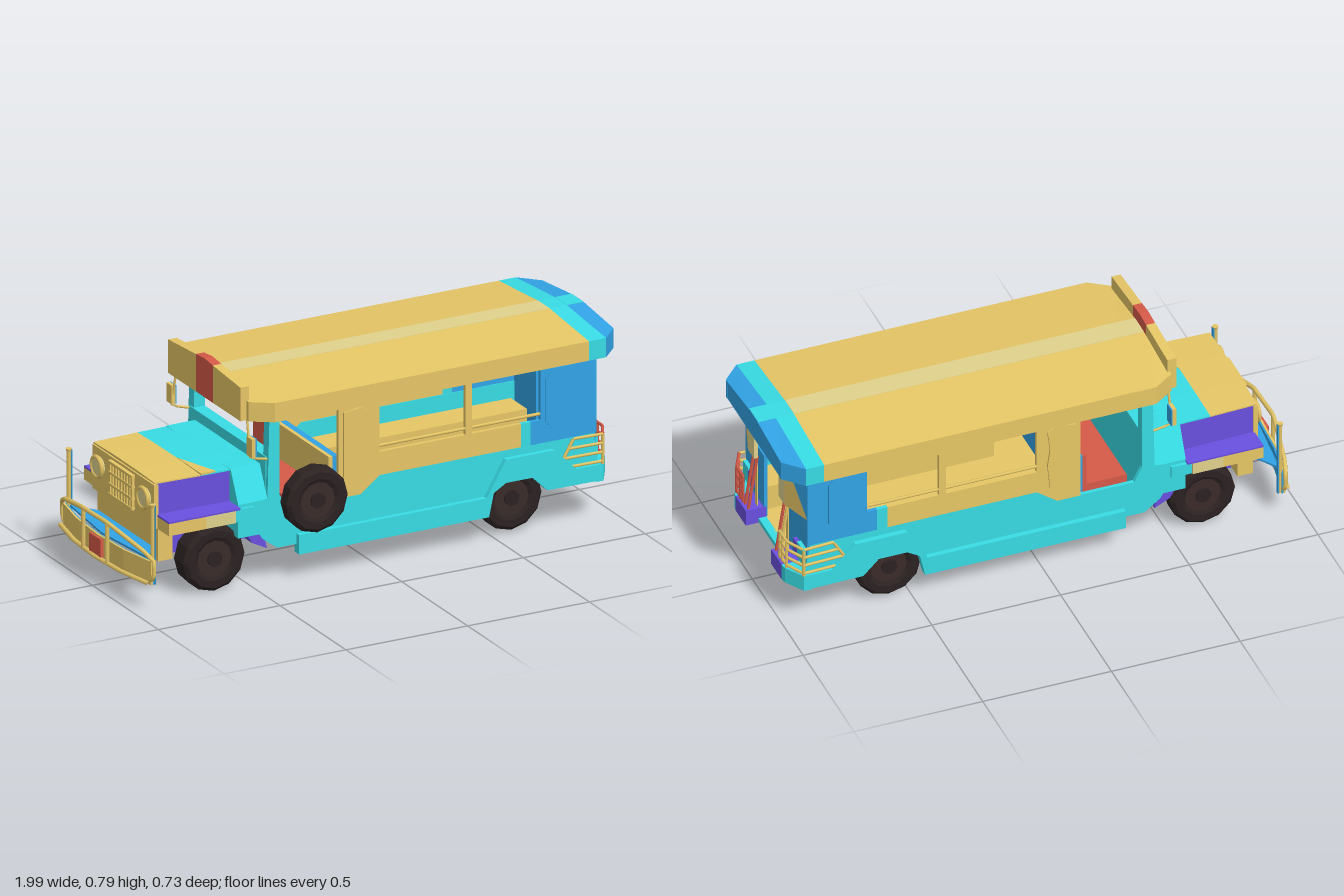
import * as THREE from 'three';

export function createModel() {
  const model = new THREE.Group();
  const g = new THREE.Group();
  g.name = 'passengerTruck';
  g.position.z = -0.01;
  model.add(g);

  const mat = (name, color) => {
    const m = new THREE.MeshStandardMaterial({ color });
    m.name = name;
    return m;
  };
  const gold = mat('gold', 0xe6c666), pale = mat('paleGold', 0xe0d28c), teal = mat('teal', 0x38dce5);
  const blue = mat('blue', 0x32a4e6), purple = mat('purple', 0x6a50e0), red = mat('red', 0xd65a48);
  const rubber = mat('rubber', 0x2c2222), hubMat = mat('hub', 0x3a2b29);
  rubber.flatShading = hubMat.flatShading = true;

  const add = (name, geo, m, x = 0, y = 0, z = 0) => {
    const mesh = new THREE.Mesh(geo, m);
    mesh.name = name;
    mesh.position.set(x, y, z);
    g.add(mesh);
    return mesh;
  };
  // Box from its limits on each axis
  const box = (name, m, x0, x1, y0, y1, z0, z1) =>
    add(name, new THREE.BoxGeometry(x1 - x0, y1 - y0, Math.abs(z1 - z0)), m, (x0 + x1) / 2, (y0 + y1) / 2, (z0 + z1) / 2);
  const extrude = (pts, depth) => new THREE.ExtrudeGeometry(
    new THREE.Shape(pts.map(p => new THREE.Vector2(p[0], p[1]))), { depth, bevelEnabled: false });
  // Side panel: x,y outline whose outer face lies at s * half
  const side = (name, m, pts, s, half, t = 0.015) => add(name, extrude(pts, t), m, 0, 0, s > 0 ? half - t : -half);
  // Symmetric z,y section run along x, widened by w0 and w1 at its ends
  const alongX = (name, m, pts, x0, x1, w0 = 1, w1 = 1) => {
    const geo = extrude(pts, x1 - x0).rotateY(Math.PI / 2);
    const p = geo.attributes.position;
    for (let i = 0; i < p.count; i++) p.setZ(i, p.getZ(i) * (p.getX(i) < (x1 - x0) / 2 ? w0 : w1));
    geo.computeVertexNormals();
    return add(name, geo, m, x0);
  };
  // Plan outline (x,z) raised from y0 to y1
  const plan = (name, m, pts, y0, y1) =>
    add(name, extrude(pts.map(([x, z]) => [x, -z]), y1 - y0).rotateX(-Math.PI / 2), m, 0, y0);
  const tube = (name, m, pts, r = 0.006) => {
    const path = new THREE.CurvePath();
    const v = pts.map(p => new THREE.Vector3(...p));
    for (let i = 1; i < v.length; i++) path.add(new THREE.LineCurve3(v[i - 1], v[i]));
    return add(name, new THREE.TubeGeometry(path, (v.length - 1) * 4, r, 6), m);
  };
  const both = fn => [1, -1].forEach(fn);
  const mirror = half => [...half, ...half.map(([z, y]) => [-z, y]).reverse()];

  // Roof shell with hollow underside, closed at the rear
  const shell = [...mirror([[0.343, 0.64], [0.343, 0.715], [0.045, 0.74]]),
    ...mirror([[0.325, 0.64], [0.325, 0.7]]).reverse()];
  alongX('roofFront', gold, shell, -0.51, -0.43, 0.84, 1);
  alongX('roofMain', gold, shell, -0.43, 0.86);
  alongX('roofBand', teal, shell, 0.86, 0.93);
  alongX('roofRear', blue, shell, 0.93, 1, 1, 0.79);
  alongX('roofRearFascia', blue, mirror([[0.33, 0.642], [0.33, 0.705]]), 0.985, 0.9995, 0.83, 0.79);
  box('roofStripe', pale, -0.5, 0.86, 0.738, 0.741, -0.045, 0.045);
  box('roofStripeRear', teal, 0.93, 0.998, 0.738, 0.741, -0.045, 0.045);

  // Sign board above the windscreen
  both(s => alongX('signBoard', gold, s > 0
    ? [[0.065, 0.64], [0.274, 0.64], [0.274, 0.77], [0.065, 0.785]]
    : [[-0.274, 0.64], [-0.065, 0.64], [-0.065, 0.785], [-0.274, 0.77]], -0.535, -0.5));
  alongX('signCentre', red, [[-0.065, 0.64], [0.065, 0.64], [0.065, 0.785], [0, 0.791], [-0.065, 0.785]], -0.535, -0.5);

  // Body sides
  const arch = [[0.92, 0.22], [0.92, 0.158], [0.7, 0.16], [0.64, 0.22], [0.53, 0.22], [0.48, 0.19], [0.46, 0.1], [-0.32, 0.1]];
  both(s => {
    side('lowerWall', teal, [[-0.55, 0.32], [-0.39, 0.34], [-0.36, 0.28], [-0.06, 0.28], [0.02, 0.34], [0.9, 0.34],
      ...arch, [-0.32, 0.135], [-0.4, 0.135], [-0.46, 0.18]], s, 0.303);
    side('skirt', teal, [[-0.32, 0.175], [0.45, 0.175], [0.53, 0.31], [0.73, 0.31], [0.82, 0.22], ...arch], s, 0.323, 0.022);
    side('doorPillar', gold, [[-0.15, 0.28], [-0.06, 0.28], [0.02, 0.34], [0.02, 0.7], [-0.15, 0.7]], s, 0.306);
    side('pillarPanel', gold, [[-0.13, 0.36], [-0.1, 0.34], [-0.03, 0.35], [-0.02, 0.45], [-0.03, 0.52], [-0.02, 0.6], [-0.06, 0.62], [-0.13, 0.61]], s, 0.313, 0.008);
    side('windowSill', gold, [[0.02, 0.34], [0.6, 0.34], [0.6, 0.43], [0.02, 0.43]], s, 0.306);
    side('sillBand', teal, [[0.6, 0.34], [0.64, 0.34], [0.64, 0.43], [0.6, 0.43]], s, 0.306);
    side('rearQuarter', blue, [[0.64, 0.34], [0.91, 0.34], [0.91, 0.7], [0.68, 0.7], [0.68, 0.43], [0.64, 0.43]], s, 0.306);
    side('quarterPanel', blue, [[0.73, 0.39], [0.8, 0.39], [0.83, 0.42], [0.83, 0.59], [0.8, 0.625], [0.73, 0.625], [0.7, 0.59], [0.7, 0.42]], s, 0.313, 0.008);
    side('windowPost', gold, [[0.372, 0.43], [0.4, 0.43], [0.4, 0.7], [0.372, 0.7]], s, 0.306);
    tube('windowBar', gold, [[0.02, 0.453, s * 0.3], [0.68, 0.453, s * 0.3]]);
    side('screenPillar', teal, [[-0.44, 0.32], [-0.39, 0.32], [-0.39, 0.7], [-0.43, 0.7]], s, 0.303, 0.04);

    // Mirror and its arm
    box('mirror', gold, -0.515, -0.5, 0.51, 0.582, s * 0.285, s * 0.325);
    box('mirrorFace', blue, -0.5, -0.495, 0.51, 0.582, s * 0.285, s * 0.325);
    tube('mirrorArm', gold, [[-0.505, 0.64, s * 0.27], [-0.508, 0.5, s * 0.298], [-0.43, 0.48, s * 0.29]], 0.005);

    // Benches with closed fronts
    box('bench', gold, 0, 0.88, 0.235, 0.275, s * 0.165, s * 0.288);
    box('benchFront', gold, 0, 0.88, 0.175, 0.235, s * 0.165, s * 0.175);

    // Rear wall and slanted upper corner, the corner split on a diagonal
    box('rearWall', blue, 0.895, 0.91, 0.17, 0.45, s * 0.125, s * 0.3);
    box('rearPanel', pale, 0.935, 0.95, 0.45, 0.7, s * 0.12, s * 0.18);
    plan('rearCorner', gold, [[0.95, 0.18], [0.907, 0.306], [0.892, 0.3], [0.935, 0.175]].map(([x, z]) => [x, s * z]), 0.45, 0.7);
    const tri = [[0.953, 0.67, 0.18], [0.91, 0.7, 0.307], [0.91, 0.45, 0.307]];
    if (s < 0) tri.reverse();
    const triGeo = new THREE.BufferGeometry().setFromPoints(tri.map(([x, y, z]) => new THREE.Vector3(x, y, s * z)));
    triGeo.computeVertexNormals();
    add('rearCornerPaint', triGeo, blue);

    // Rear step with chamfered ends
    box('stepEnd', purple, 0.9, 0.98, 0.155, 0.22, s * 0.125, s * 0.225);
    plan('stepCorner', teal, [[0.9, 0.225], [0.98, 0.225], [0.975, 0.25], [0.93, 0.323], [0.9, 0.323]].map(([x, z]) => [x, s * z]), 0.155, 0.22);
    box('tailLamp', purple, 0.91, 0.925, 0.26, 0.31, s * 0.2, s * 0.24);
    box('tailLampOuter', teal, 0.91, 0.925, 0.25, 0.32, s * 0.24, s * 0.29);

    // Door poles and corner railings
    const railMat = s > 0 ? red : gold;
    tube('doorPole', red, [[0.965, 0.22, s * 0.137], [0.93, 0.45, s * 0.137]]);
    tube('outerPole', railMat, [[0.965, 0.22, s * 0.167], [0.93, 0.45, s * 0.167]]);
    box('poleSlat', gold, 0.925, 0.93, 0.22, 0.45, s * 0.142, s * 0.162);
    [0.23, 0.265, 0.3, 0.335].forEach(y => {
      tube('sideRail', gold, [[0.75 + (y - 0.23) * 0.6, y, s * 0.312], [0.93, y, s * 0.318]]);
      tube('rearRail', railMat, [[0.93, y, s * 0.318], [0.968, y, s * 0.245], [0.968, y, s * 0.175]]);
    });
    tube('railSlant', gold, [[0.75, 0.23, s * 0.312], [0.813, 0.335, s * 0.312]]);
    [0.182, 0.205, 0.245].forEach(z => tube('railPost', railMat, [[0.968, 0.22, s * z], [0.968, 0.335, s * z]]));
    tube('railSidePost', gold, [[0.93, 0.22, s * 0.318], [0.93, 0.335, s * 0.318]]);

    // Front fenders with flat tops
    box('fender', gold, -0.855, -0.7, 0.27, 0.317, s * 0.16, s * 0.322);
    box('fenderMiddle', pale, -0.7, -0.58, 0.27, 0.317, s * 0.16, s * 0.322);
    box('fenderRear', teal, -0.58, -0.5, 0.27, 0.317, s * 0.16, s * 0.316);
    box('fenderTop', purple, -0.855, -0.56, 0.317, 0.324, s * 0.16, s * 0.322);
    side('fenderTail', purple, [[-0.56, 0.27], [-0.47, 0.27], [-0.44, 0.14], [-0.5, 0.17]], s, 0.3, 0.1);

    // Headlamps
    add('headlamp', new THREE.CylinderGeometry(0.036, 0.036, 0.03, 16).rotateZ(Math.PI / 2), pale, -0.87, 0.375, s * 0.175);
    add('headlampRing', new THREE.TorusGeometry(0.038, 0.008, 6, 16).rotateY(Math.PI / 2), gold, -0.882, 0.375, s * 0.175);
  });

  // Cab and interior; the floor narrows between the rear wheels
  [[-0.35, 0.46, 0.288], [0.46, 0.7, 0.175], [0.7, 0.905, 0.288]].forEach(([x0, x1, w]) => box('floor', gold, x0, x1, 0.163, 0.175, -w, w));
  box('cabFloor', teal, -0.45, -0.35, 0.163, 0.175, -0.288, 0.288);
  box('rearStep', teal, 0.9, 0.93, 0.157, 0.175, -0.125, 0.125);
  box('crossBeam', teal, 0.42, 0.45, 0.13, 0.163, -0.288, 0.288);
  box('screenHeader', teal, -0.435, -0.395, 0.625, 0.7, -0.29, 0.29);
  box('doorHeader', teal, 0.9, 0.935, 0.625, 0.7, -0.21, 0.21);
  box('dashboard', teal, -0.44, -0.39, 0.17, 0.49, -0.29, 0.29);
  box('seatBack', blue, -0.165, -0.14, 0.175, 0.44, -0.288, 0.288);
  box('seat', red, -0.34, -0.165, 0.175, 0.305, -0.28, 0.28);
  box('seatCushion', gold, -0.18, -0.165, 0.305, 0.44, -0.2, 0.288);
  box('seatCushionEnd', red, -0.18, -0.165, 0.305, 0.44, -0.288, -0.2);

  // Hood standing between the fenders, widening into the cowl
  const hood = mirror([[0.238, 0.3], [0.238, 0.443], [0.09, 0.447]]);
  const hoodSkin = mirror([[0.24, 0.443], [0.24, 0.448], [0.09, 0.452]]);
  alongX('hood', purple, hood, -0.855, -0.56, 0.97, 1);
  alongX('cowl', teal, mirror([[0.303, 0.2], [0.303, 0.33], [0.245, 0.45]]), -0.56, -0.42);
  alongX('hoodTop', gold, hoodSkin, -0.865, -0.68, 0.97, 1);
  alongX('hoodTopRear', teal, hoodSkin, -0.68, -0.5, 1, 1.02);
  plan('hoodTopEdge', gold, [[-0.68, 0.06], [-0.62, 0.241], [-0.68, 0.241]], 0.446, 0.4535);
  box('engineBay', purple, -0.79, -0.45, 0.135, 0.31, -0.165, 0.165);
  box('frontPanel', gold, -0.85, -0.79, 0.14, 0.27, -0.23, 0.23);

  // Grille
  box('grillePanel', gold, -0.868, -0.85, 0.27, 0.44, -0.235, 0.235);
  box('grilleBack', rubber, -0.872, -0.866, 0.305, 0.425, -0.085, 0.085);
  for (let i = -4; i <= 4; i++) box('grilleBar', gold, -0.88, -0.87, 0.3, 0.43, i * 0.021 - 0.005, i * 0.021 + 0.005);
  [0.3, 0.34, 0.385, 0.425].forEach(y => box('grilleRail', gold, -0.883, -0.868, y - 0.005, y + 0.005, -0.09, 0.09));

  // Bowed front bumper: gold outside, blue inside, with tube guard and end posts
  const bow = d => [[-0.935 + d, -0.335], [-0.965 + d, -0.18], [-0.975 + d, 0], [-0.965 + d, 0.18], [-0.935 + d, 0.335]];
  plan('bumperPlate', gold, [...bow(0), ...bow(0.008).reverse()], 0.1, 0.19);
  plan('bumperLining', blue, [...bow(0.008), ...bow(0.014).reverse()], 0.1, 0.188);
  plan('bumperBracket', blue, [[-0.925, -0.3], [-0.955, 0], [-0.925, 0.3], [-0.86, 0.2], [-0.86, -0.2]], 0.185, 0.193);
  box('bumperBadge', red, -0.985, -0.974, 0.115, 0.185, -0.045, 0.045);
  tube('bumperGuard', gold, [[-0.93, 0.11, 0.315], [-0.93, 0.13, 0.348], [-0.93, 0.195, 0.348], [-0.945, 0.22, 0.3],
    [-0.98, 0.265, 0.09], [-0.985, 0.265, -0.09], [-0.945, 0.22, -0.3], [-0.93, 0.195, -0.348], [-0.93, 0.13, -0.348], [-0.93, 0.11, -0.315]], 0.009);
  tube('bumperLowerBar', gold, bow(-0.01).map(([x, z]) => [x, 0.108, z]), 0.009);
  both(s => {
    tube('bumperUpright', gold, [[-0.983, 0.11, s * 0.09], [-0.983, 0.265, s * 0.09]], 0.008);
    tube('bumperPost', gold, [[-0.92, 0.095, s * 0.318], [-0.92, 0.4, s * 0.318]], 0.008);
    box('postBack', blue, -0.913, -0.909, 0.095, 0.4, s * 0.31, s * 0.326);
    add('postCap', new THREE.CylinderGeometry(0.012, 0.009, 0.012, 8), gold, -0.92, 0.398, s * 0.318);
  });

  // Wheels: low-sided tyres with stepped hubs
  const wheel = (name, x, y, z, w) => {
    const h = w / 2;
    const prof = [[0.07, -h + 0.008], [0.085, -h], [0.112, -h], [0.126, -h + 0.012], [0.126, h - 0.012], [0.112, h], [0.085, h], [0.07, h - 0.008]];
    add(name + 'Tyre', new THREE.LatheGeometry(prof.map(p => new THREE.Vector2(...p)), 12).rotateX(Math.PI / 2), rubber, x, y, z);
    add(name + 'Rim', new THREE.CylinderGeometry(0.075, 0.075, w - 0.016, 12).rotateX(Math.PI / 2), hubMat, x, y, z);
    add(name + 'Hub', new THREE.CylinderGeometry(0.03, 0.03, w, 12).rotateX(Math.PI / 2), rubber, x, y, z);
  };
  both(s => {
    wheel('frontWheel', -0.64, 0.126, s * 0.231, 0.094);
    wheel('rearWheel', 0.58, 0.136, s * 0.231, 0.094);
  });
  wheel('spareWheel', -0.27, 0.318, 0.343, 0.07);

  return model;
}
